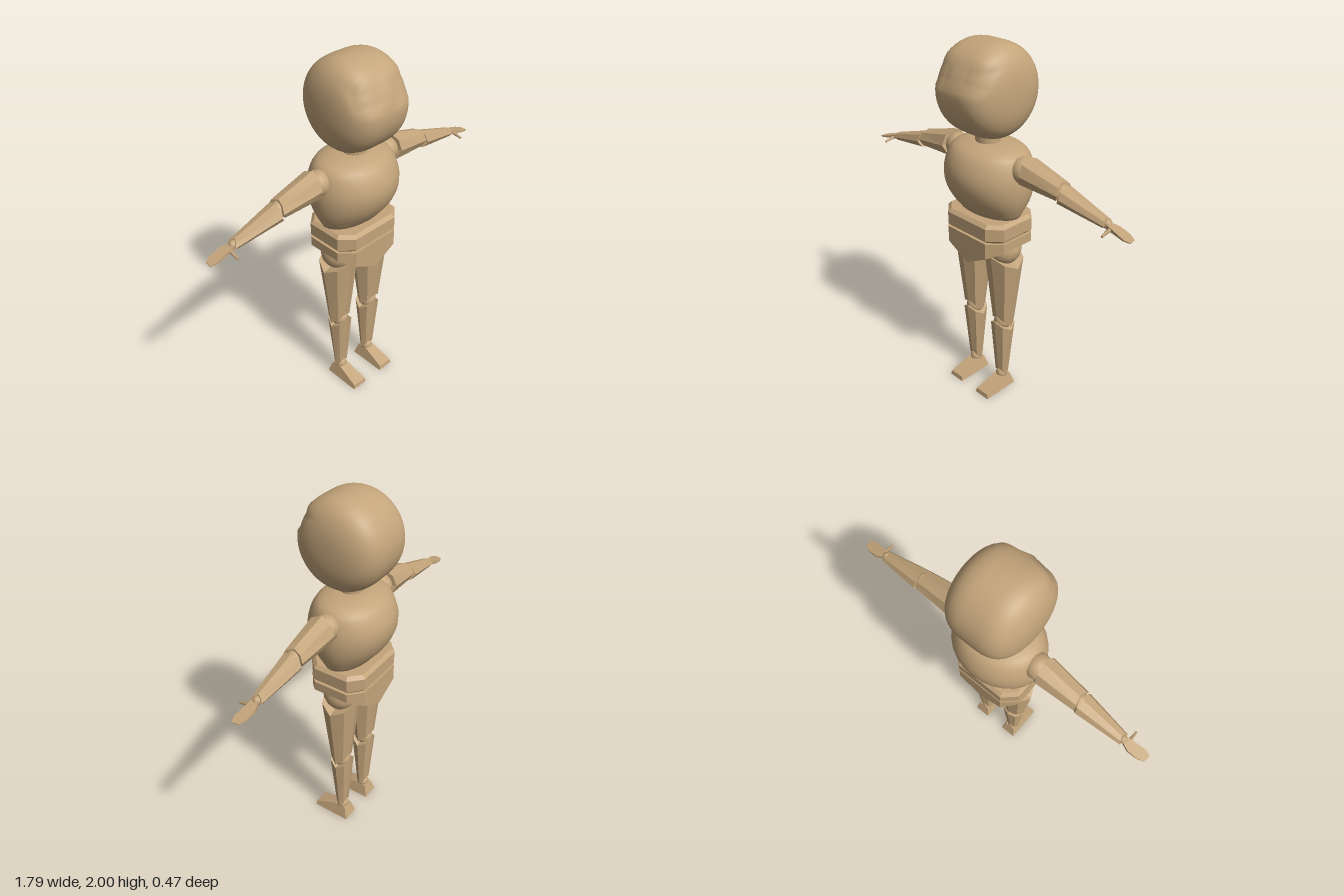
import * as THREE from 'three';
import { mergeVertices } from 'three/addons/utils/BufferGeometryUtils.js';

const V2 = (x, y) => new THREE.Vector2(x, y);

// Apply a rule to every vertex
function warp(geo, rule) {
  const p = geo.attributes.position;
  for (let i = 0; i < p.count; i++) p.setXYZ(i, ...rule(p.getX(i), p.getY(i), p.getZ(i)));
  return geo;
}

// Weld seams and give smooth normals
function smooth(geo) {
  geo.deleteAttribute('uv');
  geo.deleteAttribute('normal');
  const g = mergeVertices(geo, 1e-5);
  g.computeVertexNormals();
  return g;
}

// Faceted block extruded from an outline, then mapped by a rule
function block(points, depth, rule, bevel = 0) {
  const geo = new THREE.ExtrudeGeometry(new THREE.Shape(points.map(([x, y]) => V2(x, y))), {
    depth, steps: 1, bevelEnabled: bevel > 0, bevelSize: bevel, bevelThickness: bevel,
    bevelOffset: -bevel, bevelSegments: 1,
  });
  warp(geo, rule).computeVertexNormals();
  return geo;
}

// Tapered eight-sided limb from a to b; its ends are notched by k
function limb(a, b, [ax, az], [bx, bz], k) {
  const dx = a[0] - b[0], dy = a[1] - b[1], len = Math.hypot(dx, dy);
  const geo = warp(new THREE.CylinderGeometry(1, 1, 1, 8, 1), (x, y, z) => {
    const top = y > 0;
    return [x * (top ? ax : bx), y * len + k * (z * z - x * x), z * (top ? az : bz)];
  }).toNonIndexed();
  geo.computeVertexNormals();
  geo.rotateZ(Math.atan2(-dx, dy));
  geo.translate((a[0] + b[0]) / 2, (a[1] + b[1]) / 2, a[2]);
  return geo;
}

function ball(x, y, z, r) {
  return new THREE.SphereGeometry(r, 16, 12).translate(x, y, z);
}

export function createModel() {
  const model = new THREE.Group();
  model.name = 'jointedFigure';
  const wood = new THREE.MeshStandardMaterial({ color: 0xc4a57b });
  wood.name = 'wood';
  const add = (name, geo) => {
    const m = new THREE.Mesh(geo, wood);
    m.name = name;
    model.add(m);
  };

  // Head: round from the side, flattened at the ears, with two shallow eye sockets
  const headProfile = [];
  for (let i = 0; i <= 36; i++) {
    const a = -Math.PI / 2 + (Math.PI * i) / 36, s = Math.sin(a);
    const r = i % 36 ? 0.237 * Math.cos(a) ** (2 / 2.3) : 0;
    headProfile.push(V2(r, 0.206 * Math.sign(s) * Math.abs(s) ** (2 / 3.5)));
  }
  const head = new THREE.LatheGeometry(headProfile, 48).rotateZ(Math.PI / 2);
  warp(head, (x, y, z) => {
    const mx = THREE.MathUtils.smoothstep(0.09 - Math.abs(Math.abs(x) - 0.095), 0, 0.025);
    const my = THREE.MathUtils.smoothstep(0.06 - Math.abs(y - 0.095), 0, 0.02);
    const f = z > 0 ? 1 - 0.06 * mx * my : 1;
    return [x, 1.766 + y * f, z * f + 0.002];
  });
  add('head', smooth(head));
  add('neck', new THREE.CylinderGeometry(0.064, 0.064, 0.1, 16).translate(0, 1.51, -0.003));

  // Barrel-shaped chest
  const curve = new THREE.SplineCurve([
    V2(0.2, 1.122), V2(0.238, 1.21), V2(0.251, 1.31), V2(0.238, 1.4), V2(0.2, 1.47), V2(0.1, 1.498),
  ]);
  const chest = new THREE.LatheGeometry([V2(0, 1.118), ...curve.getPoints(16), V2(0, 1.5)], 28);
  warp(chest, (x, y, z) => [x, y, z * (0.87 - 0.24 * ((y - 1.35) / 0.2) ** 2) - 0.012]);
  add('chest', smooth(chest));

  // Waist band with bevelled edges
  const waist = [[0.14, 0.165], [-0.14, 0.165], [-0.21, 0.1], [-0.21, -0.1],
    [-0.14, -0.165], [0.14, -0.165], [0.21, -0.1], [0.21, 0.1]];
  add('waist', block(waist, 0.068, (u, v, d) => [u, 1.03 + d, -v - 0.013], 0.018));

  for (const s of [1, -1]) {
    const side = s > 0 ? 'left' : 'right';

    // Pelvis half, sloping to a point at the middle
    const half = [[0, 0.165], [0.14, 0.165], [0.21, 0.1], [0.21, -0.1], [0.14, -0.165], [0, -0.165]];
    add(side + 'Pelvis', block(half.map(([x, z]) => [s * x, z]), 1, (u, v, d) => [
      u, d > 0.5 ? 1.013 : 0.85 + Math.abs(u) * 0.53, -v - 0.013]));

    // Leg
    const z = -0.012;
    add(side + 'Hip', ball(s * 0.112, 0.925, z, 0.094));
    add(side + 'Thigh', limb([s * 0.115, 0.865, z], [s * 0.115, 0.475, z], [0.104, 0.1], [0.062, 0.056], 0.033));
    add(side + 'Knee', ball(s * 0.112, 0.455, z, 0.05));
    add(side + 'Calf', limb([s * 0.11, 0.44, z], [s * 0.108, 0.105, z], [0.066, 0.066], [0.04, 0.033], 0.027));
    add(side + 'Ankle', ball(s * 0.108, 0.08, z, 0.034));
    const foot = [[-0.068, 0], [0.152, 0], [0.148, 0.026], [0.02, 0.073], [-0.045, 0.073]];
    add(side + 'Foot', block(foot, 1, (u, v, d) => [
      s * 0.108 - (d - 0.5) * (0.097 - 0.5 * v), v, u]));

    // Arm
    const az = -0.015;
    add(side + 'Shoulder', ball(s * 0.235, 1.4, az, 0.068));
    add(side + 'UpperArm', limb([s * 0.265, 1.405, az], [s * 0.485, 1.372, az], [0.077, 0.078], [0.049, 0.058], -0.012));
    add(side + 'Elbow', ball(s * 0.485, 1.368, az, 0.042));
    add(side + 'Forearm', limb([s * 0.495, 1.36, az], [s * 0.745, 1.307, az], [0.047, 0.061], [0.024, 0.032], -0.012));
    add(side + 'Wrist', ball(s * 0.75, 1.305, az, 0.022));

    // Flat hand thinning towards the fingertips
    const hand = [[0.745, 0.025], [0.8, 0.047], [0.855, 0.045], [0.89, 0.03],
      [0.895, -0.008], [0.865, -0.018], [0.745, -0.002]];
    add(side + 'Hand', block(hand.map(([x, v]) => [s * x, v]), 1, (u, v, d) => {
      const t = (Math.abs(u) - 0.745) / 0.15;
      return [u, 1.304 - 0.031 * t + (d - 0.5) * (0.024 - 0.02 * t), -v];
    }));
    const thumb = new THREE.CylinderGeometry(0.01, 0.006, 0.055, 6).rotateX(-Math.PI / 2 + 0.25);
    add(side + 'Thumb', thumb.translate(s * 0.78, 1.288, 0.033));
  }
  return model;
}
